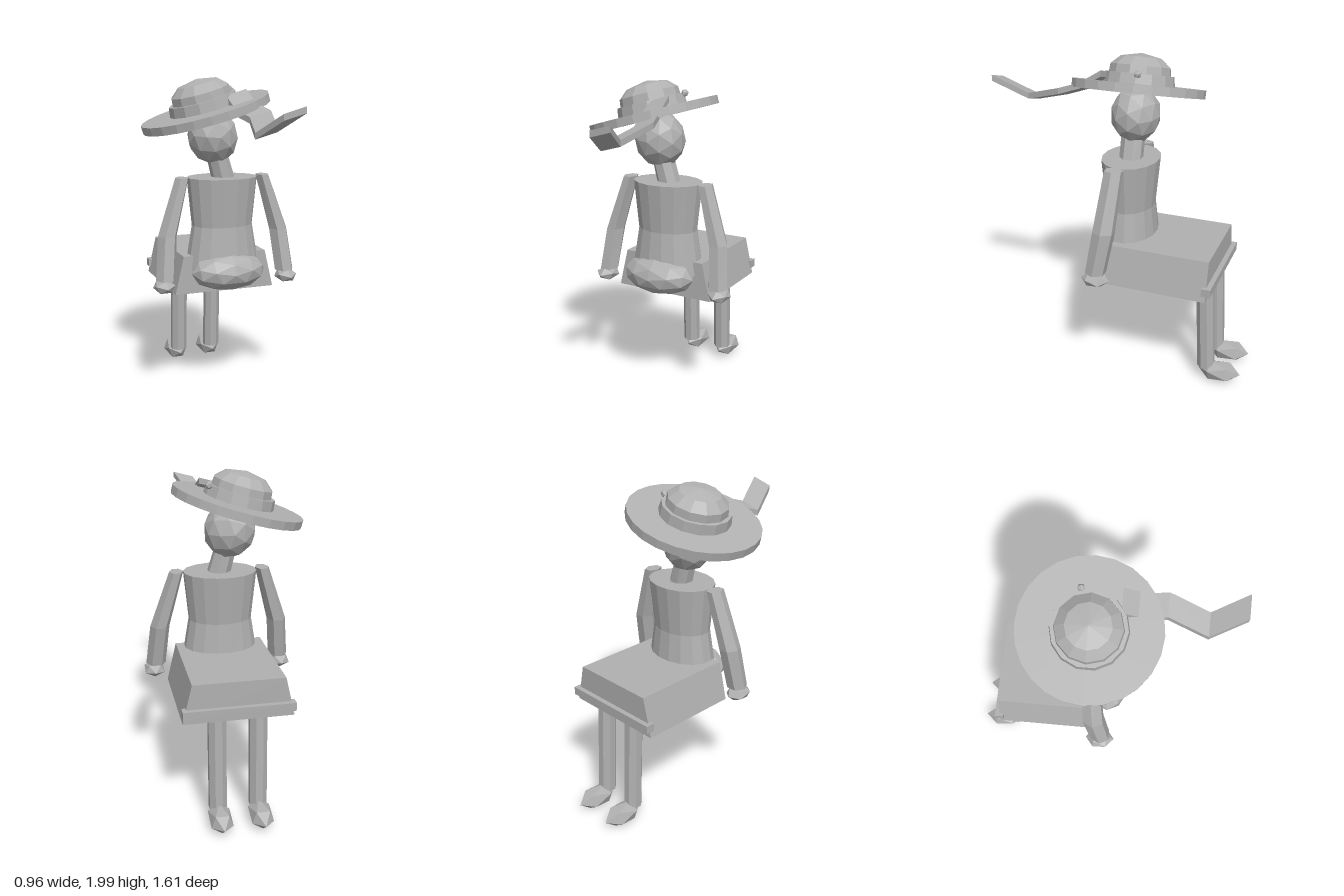
import * as THREE from 'three';

const grey = new THREE.MeshStandardMaterial({ color: 0xb0b0b0, flatShading: true });
grey.name = 'plain grey';

const MID = 0.015;   // symmetry plane of the body
const TILT = 0.275;  // sideways tilt of head and hat

function add(parent, name, geometry, x = 0, y = 0, z = 0) {
  const mesh = new THREE.Mesh(geometry, grey);
  mesh.name = name;
  mesh.position.set(x, y, z);
  parent.add(mesh);
  return mesh;
}

// Horizontal elliptical ring, counterclockwise about +y
function ring(x, y, z, rx, rz, n, phase = 0) {
  return Array.from({ length: n }, (_, i) => {
    const a = ((i + phase) / n) * Math.PI * 2;
    return [x + rx * Math.cos(a), y, z - rz * Math.sin(a)];
  });
}

// Closed solid skinned over a row of equal cross-sections
function loft(rings) {
  const n = rings[0].length;
  const last = rings.length - 1;
  const index = [];
  for (let i = 0; i < last; i++) {
    for (let j = 0; j < n; j++) {
      const a = i * n + j, b = i * n + ((j + 1) % n);
      index.push(a, b, b + n, a, b + n, a + n);
    }
  }
  for (let j = 1; j < n - 1; j++) {
    index.push(0, j + 1, j);
    index.push(last * n, last * n + j, last * n + j + 1);
  }
  const g = new THREE.BufferGeometry();
  g.setAttribute('position', new THREE.Float32BufferAttribute(rings.flat(2), 3));
  g.setIndex(index);
  const flat = g.toNonIndexed();
  flat.computeVertexNormals();
  return flat;
}

// Faceted lump with a vertex pointing straight up
function lump(rx, ry, rz, detail = 0) {
  return new THREE.IcosahedronGeometry(1, detail).rotateX(-0.5536).scale(rx, ry, rz);
}

export function createModel() {
  const model = new THREE.Group();
  model.name = 'seatedFigure';

  // Torso with narrow waist, and rounded hips behind
  add(model, 'torso', loft([
    ring(MID, 0.83, -0.035, 0.24, 0.175, 16, 0.5),
    ring(MID, 1.1, -0.035, 0.195, 0.147, 16, 0.5),
    ring(MID, 1.4, -0.035, 0.225, 0.175, 16, 0.5),
  ]));
  add(model, 'hips', lump(0.24, 0.12, 0.14, 1), MID, 0.82, 0.075);

  // Skirt over the lap, with a hem strip along the knees
  const slab = (y, w) => [[MID + w, y, -0.615], [MID - w, y, -0.615], [MID - w, y, 0.02], [MID + w, y, 0.02]];
  add(model, 'skirt', loft([slab(0.68, 0.328), slab(0.92, 0.272)]));
  add(model, 'hemStrip', new THREE.BoxGeometry(0.66, 0.05, 0.055), MID, 0.745, -0.6175);

  // Arms, hands, legs and feet
  for (const [side, s] of [['left', 1], ['right', -1]]) {
    add(model, side + 'Arm', loft([
      ring(MID + s * 0.397, 0.79, 0.045, 0.062, 0.065, 6),
      ring(MID + s * 0.37, 1.055, 0, 0.06, 0.07, 6),
      ring(MID + s * 0.265, 1.405, -0.025, 0.043, 0.06, 6),
    ]));
    add(model, side + 'Hand', lump(0.07, 0.045, 0.09), MID + s * 0.408, 0.75, 0.045);
    const x = MID + s * 0.122;
    add(model, side + 'Leg', loft([
      ring(x, 0.1, -0.592, 0.056, 0.056, 8, 0.5),
      ring(x, 0.7, -0.562, 0.056, 0.056, 8, 0.5),
    ]));
    add(model, side + 'Foot', lump(0.077, 0.07, 0.136), x, 0.073, -0.678);
  }

  // Neck and head
  add(model, 'neck', loft([
    ring(0.022, 1.39, -0.035, 0.073, 0.073, 8, 0.5),
    ring(-0.025, 1.56, -0.035, 0.066, 0.073, 8, 0.5),
  ]));
  add(model, 'head', lump(0.158, 0.172, 0.152, 1), -0.045, 1.65, -0.04).rotation.z = TILT;

  // Tilted sun hat: brim, band, domed crown and a button
  const hat = new THREE.Group();
  hat.name = 'hat';
  hat.position.set(-0.09, 1.795, -0.04);
  hat.rotation.z = TILT;
  model.add(hat);
  add(hat, 'brim', new THREE.CylinderGeometry(0.4, 0.4, 0.05, 24));
  add(hat, 'hatBand', new THREE.CylinderGeometry(0.208, 0.217, 0.07, 14), 0, 0.05, 0);
  const dome = [[0.188, 0.08], [0.182, 0.132], [0.125, 0.182], [0, 0.207]];
  add(hat, 'crown', new THREE.LatheGeometry(dome.map(p => new THREE.Vector2(...p)), 12));
  add(hat, 'button', new THREE.IcosahedronGeometry(0.024, 0), 0.21, 0.08, -0.06);

  // Ribbon trailing from the band, dipping through the brim
  const path = [[0.045, 1.9, 0.12], [0.06, 1.82, 0.25], [0.095, 1.785, 0.37], [0.03, 1.715, 0.6], [0.105, 1.825, 0.8]];
  const corners = [[1, 1], [-1, 1], [-1, -1], [1, -1]];
  add(model, 'ribbon', loft(path.map(([x, y, z]) => corners.map(([u, v]) =>
    [x + u * 0.065, y + u * 0.018 + v * 0.018, z]))));

  return model;
}
